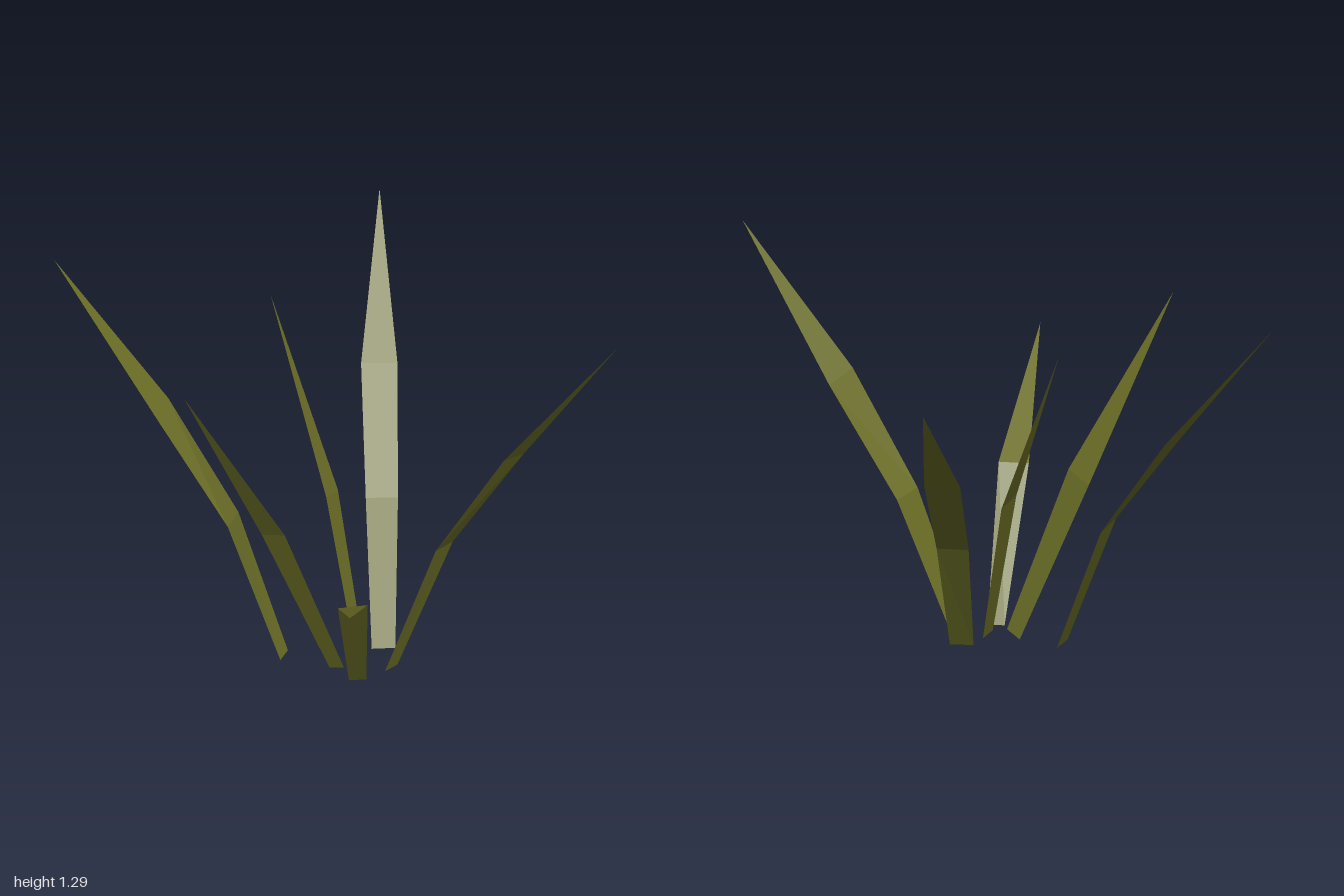
import * as THREE from 'three';

// One blade: pairs of edge points from the root upwards, closed by a single tip point.
function makeBlade(name, edgeA, edgeB, tip, material) {
  const positions = [];
  const last = edgeA.length - 1;
  for (let i = 0; i < last; i++) {
    positions.push(...edgeA[i], ...edgeB[i], ...edgeB[i + 1]);
    positions.push(...edgeA[i], ...edgeB[i + 1], ...edgeA[i + 1]);
  }
  positions.push(...edgeA[last], ...edgeB[last], ...tip);

  const geometry = new THREE.BufferGeometry();
  geometry.setAttribute('position', new THREE.Float32BufferAttribute(positions, 3));
  geometry.computeVertexNormals();
  const mesh = new THREE.Mesh(geometry, material);
  mesh.name = name;
  return mesh;
}

// Edge points are [x, y, z]
const blades = [
  {
    name: 'backBlade',
    a: [[0.11, 0.01, -0.025], [0.095, 0.42, -0.27], [0.085, 0.74, -0.565]],
    b: [[0.185, 0.01, -0.03], [0.197, 0.42, -0.27], [0.2, 0.74, -0.565]],
    tip: [0.15, 1.13, -0.99],
  },
  {
    name: 'rightLongBlade',
    a: [[-0.18, 0.015, 0.048], [-0.345, 0.46, -0.03], [-0.563, 0.78, -0.15]],
    b: [[-0.155, 0.01, -0.02], [-0.31, 0.45, -0.14], [-0.53, 0.8, -0.26]],
    tip: [-0.89, 1.245, -0.375],
  },
  {
    name: 'leftLongBlade',
    a: [[0.15, 0.015, 0.122], [0.31, 0.47, 0.145], [0.525, 0.84, 0.21]],
    b: [[0.19, 0.005, 0.065], [0.365, 0.455, 0.062], [0.588, 0.81, 0.12]],
    tip: [0.885, 1.295, 0.28],
  },
  {
    name: 'rightShortBlade',
    a: [[-0.025, 0.0, 0.07], [-0.24, 0.515, 0.11]],
    b: [[0.02, 0.02, 0.105], [-0.168, 0.545, 0.167]],
    tip: [-0.49, 1.12, 0.275],
  },
  {
    name: 'backShortBlade',
    a: [[0.065, 0.015, 0.105], [-0.033, 0.54, -0.075]],
    b: [[0.09, 0.005, 0.052], [0.005, 0.52, -0.155]],
    tip: [-0.205, 1.12, -0.36],
  },
  {
    name: 'frontBlade',
    a: [[0.035, 0.01, 0.165], [-0.005, 0.45, 0.46]],
    b: [[0.09, 0.01, 0.165], [0.09, 0.455, 0.45]],
    tip: [0.025, 0.73, 0.99],
  },
];

export function createModel() {
  const leaf = new THREE.MeshStandardMaterial({
    color: 0x6b6e26,
    flatShading: true,
    side: THREE.DoubleSide,
  });
  leaf.name = 'olive leaf';

  const group = new THREE.Group();
  group.name = 'grassTuft';
  for (const { name, a, b, tip } of blades) group.add(makeBlade(name, a, b, tip, leaf));
  return group;
}
